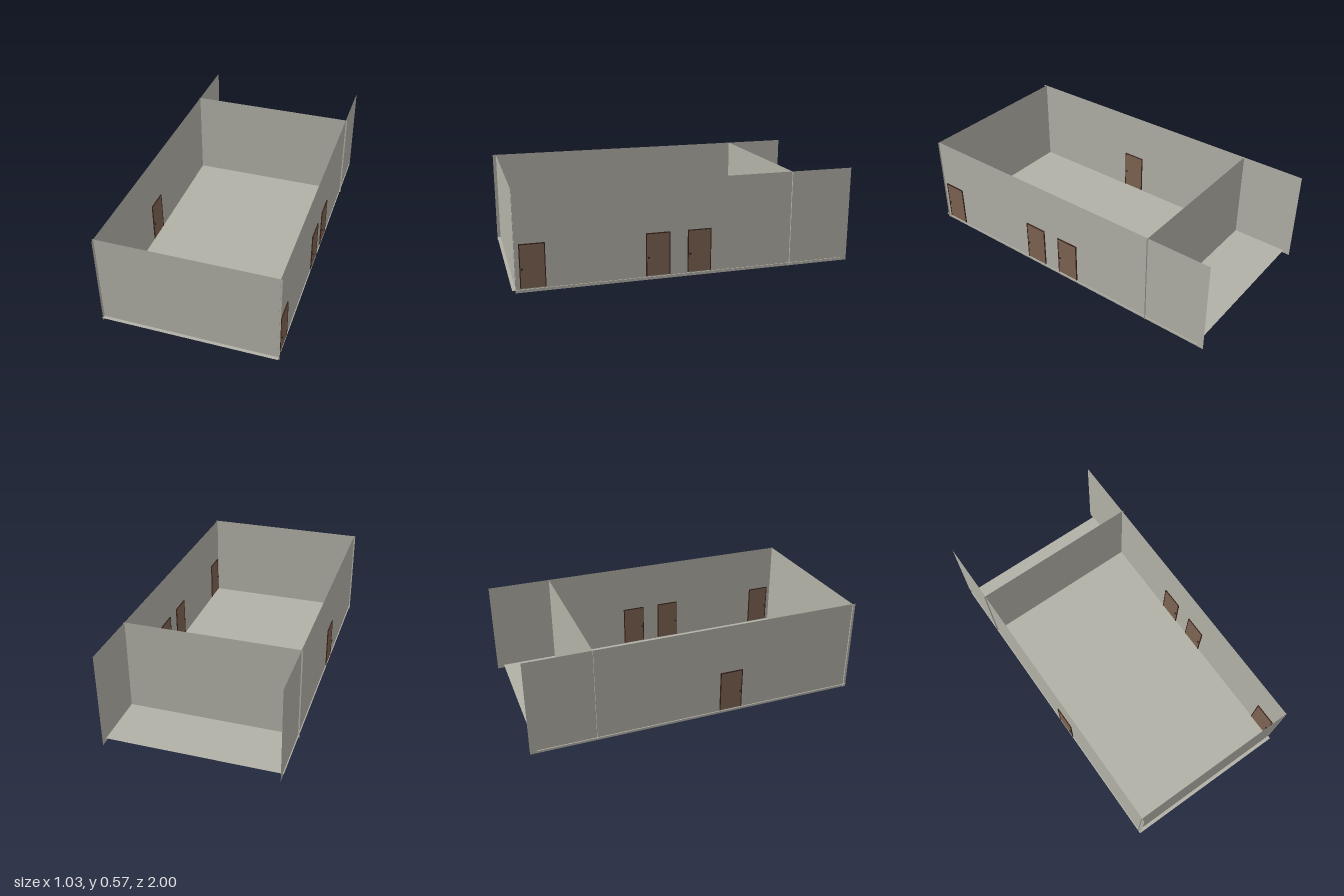
import * as THREE from 'three';

const mat = (name, color, side = THREE.FrontSide) => {
  const m = new THREE.MeshStandardMaterial({ color, side });
  m.name = name;
  return m;
};

export function createModel() {
  const model = new THREE.Group();
  model.name = 'roomShell';
  const wallMat = mat('warm grey plaster', 0xb2b1a7, THREE.DoubleSide);
  const doorMat = mat('brown wood', 0x7d6352);
  const frameMat = mat('dark brown frame', 0x3a231d);
  const knobMat = mat('dark metal', 0x2e2a28);

  const H = 0.57, RIGHT = 0.501, LEFT = -0.507;

  const add = (parent, name, geometry, material, x, y, z) => {
    const mesh = new THREE.Mesh(geometry, material);
    mesh.name = name;
    mesh.position.set(x, y, z);
    parent.add(mesh);
    return mesh;
  };

  // Paper-thin walls that cross slightly at the corners
  const sideWall = (name, x, z0, z1) => {
    const g = new THREE.PlaneGeometry(z1 - z0, H).rotateY(Math.PI / 2);
    add(model, name, g, wallMat, x, H / 2, (z0 + z1) / 2);
  };
  sideWall('rightSideWall', RIGHT, -1, 0.982);
  sideWall('leftSideWall', LEFT, -1, 1);

  const crossWall = (name, z) =>
    add(model, name, new THREE.PlaneGeometry(1.025, H), wallMat, -0.0025, H / 2, z);
  crossWall('frontWall', 0.98);
  crossWall('dividingWall', -0.62);

  // Floor sits just above the lower edge of the walls and pokes through them
  const floor = new THREE.PlaneGeometry(1.019, 1.96).rotateX(-Math.PI / 2);
  add(model, 'floor', floor, wallMat, -0.0035, 0.018, 0.02);

  // Doors: panel, thin frame and a knob that shows on both sides of the wall
  const W = 0.14, DH = 0.25, T = 0.005;
  const addDoor = (name, x, z) => {
    const door = new THREE.Group();
    door.name = name;
    door.position.set(x, 0.024, z);
    add(door, 'doorPanel', new THREE.BoxGeometry(0.008, DH - T, W - 2 * T), doorMat, 0, (DH - T) / 2, 0);
    for (const s of [-1, 1]) {
      add(door, 'framePost', new THREE.BoxGeometry(0.012, DH, T), frameMat, 0, DH / 2, s * (W - T) / 2);
    }
    add(door, 'frameHead', new THREE.BoxGeometry(0.012, T, W - 2 * T), frameMat, 0, DH - T / 2, 0);
    const knob = new THREE.CylinderGeometry(0.006, 0.006, 0.026, 12).rotateZ(Math.PI / 2);
    add(door, 'doorKnob', knob, knobMat, 0, 0.11, W / 2 - 0.013);
    model.add(door);
  };
  [0.886, 0.187, -0.057].forEach((z, i) => addDoor('rightDoor' + (i + 1), RIGHT, z));
  addDoor('leftDoor', LEFT, 0.2);

  return model;
}
